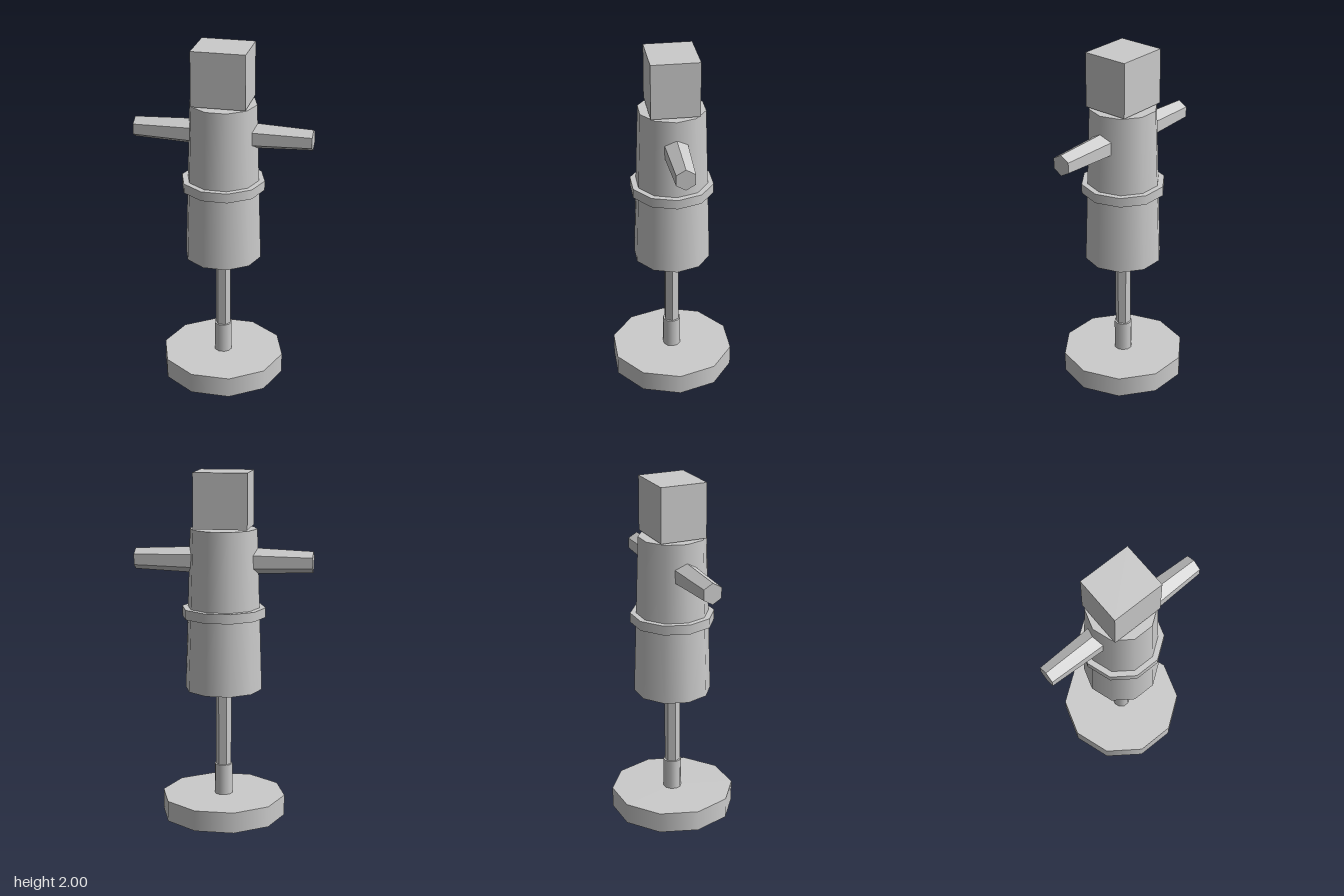
import * as THREE from 'three';

const smooth = new THREE.MeshStandardMaterial({ color: 0xcccccc });
const flat = new THREE.MeshStandardMaterial({ color: 0xcccccc, flatShading: true });

export function createModel() {
  const model = new THREE.Group();
  model.name = 'postFigure';

  // Upright prism between two heights, with a corner pointing along +x
  function prism(name, rBottom, rTop, y0, y1, sides, material) {
    const geometry = new THREE.CylinderGeometry(rTop, rBottom, y1 - y0, sides);
    geometry.rotateY(Math.PI / 2);
    const mesh = new THREE.Mesh(geometry, material);
    mesh.name = name;
    mesh.position.y = (y0 + y1) / 2;
    model.add(mesh);
  }

  // Stand and post
  prism('base', 0.36, 0.36, 0, 0.12, 10, smooth);
  prism('postSleeve', 0.052, 0.052, 0.12, 0.3, 10, smooth);
  prism('post', 0.045, 0.045, 0.3, 0.78, 6, flat);

  // Body
  prism('torso', 0.222, 0.192, 0.755, 1.68, 10, smooth);
  prism('belt', 0.24, 0.24, 1.177, 1.232, 10, smooth);
  prism('neck', 0.075, 0.075, 1.66, 1.7, 10, smooth);

  // Head block
  const head = new THREE.Mesh(new THREE.BoxGeometry(0.305, 0.312, 0.272), flat);
  head.name = 'head';
  head.position.y = 1.844;
  model.add(head);

  // Tapered hexagonal arms with a ridge along the top
  for (const side of [1, -1]) {
    const geometry = new THREE.CylinderGeometry(0.06, 0.077, 0.408, 6);
    geometry.rotateY(Math.PI / 2);
    geometry.rotateZ(-side * Math.PI / 2);
    const arm = new THREE.Mesh(geometry, flat);
    arm.name = side > 0 ? 'leftArm' : 'rightArm';
    arm.position.set(side * 0.304, 1.5, 0);
    model.add(arm);
  }

  return model;
}
